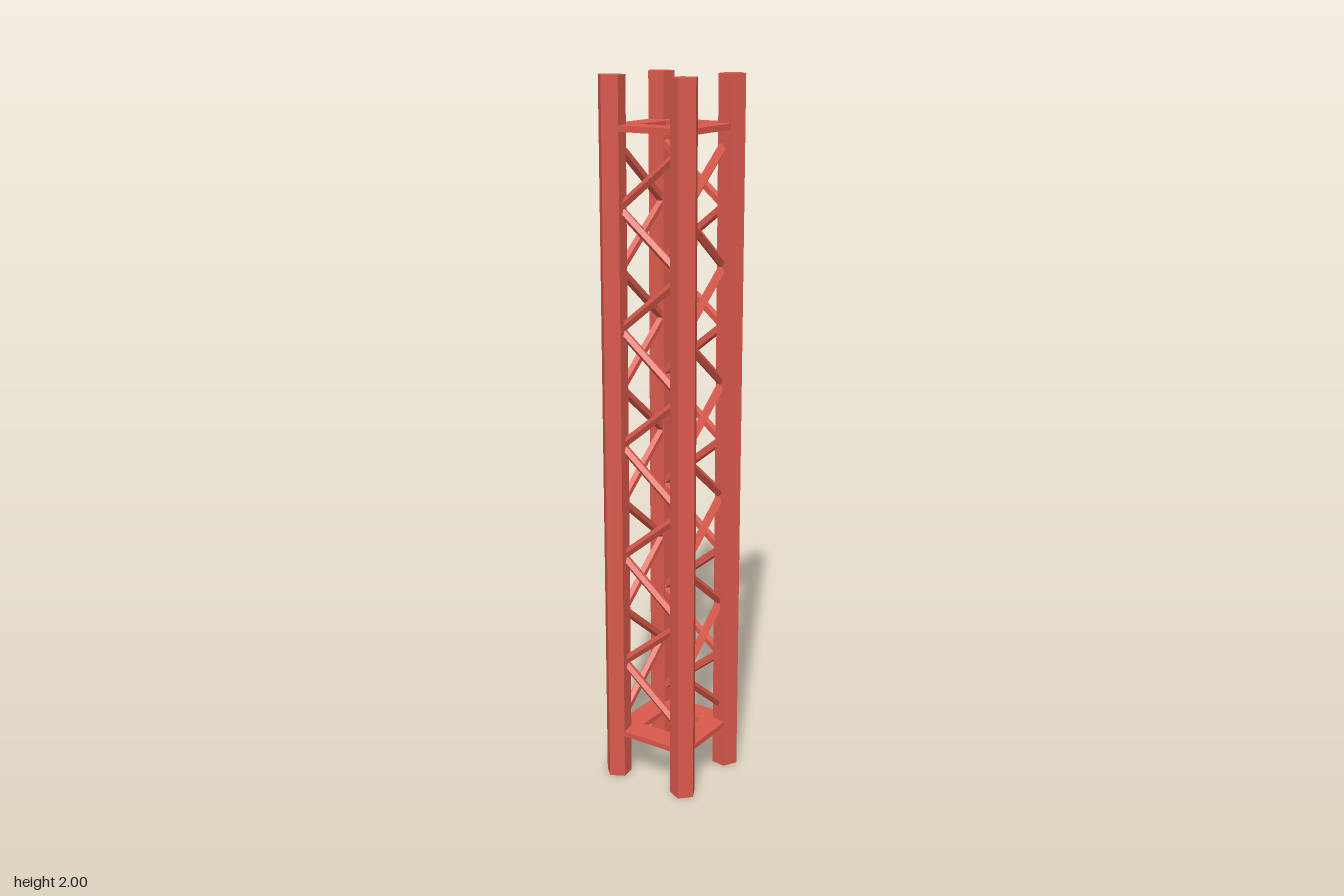
import * as THREE from 'three';

const POST = 0.1133;      // post centre offset in x and z
const ROD_Z = 0.1;        // depth of the lattice plane
const ROD_X = 0.1;        // half width of the zigzag
const BAYS = 10;
const BASE_Y = 0.19;
const PITCH = 0.163;

// Hard-edged normals for faceted parts
function faceted(geometry) {
  const g = geometry.toNonIndexed();
  g.computeVertexNormals();
  return g;
}

function square(path, h) {
  path.moveTo(-h, -h);
  path.lineTo(h, -h);
  path.lineTo(h, h);
  path.lineTo(-h, h);
  path.closePath();
  return path;
}

export function createModel() {
  const red = new THREE.MeshStandardMaterial({ color: 0xd8584b });
  red.name = 'red paint';

  const model = new THREE.Group();
  model.name = 'latticeTower';

  const add = (parent, geometry, name) => {
    const mesh = new THREE.Mesh(geometry, red);
    mesh.name = name;
    parent.add(mesh);
    return mesh;
  };

  // Five-sided post with one corner pointing to the tower axis
  const postGeo = faceted(new THREE.CylinderGeometry(0.0377, 0.0377, 2, 5, 1, false, Math.PI * 1.25));
  const rodLength = Math.hypot(2 * ROD_X, PITCH);
  const rodGeo = faceted(new THREE.CylinderGeometry(0.0125, 0.0125, rodLength, 5));
  const tilt = Math.atan2(2 * ROD_X, PITCH);

  // Four identical sides, each with a post and a zigzag of rods
  for (let s = 0; s < 4; s++) {
    const side = new THREE.Group();
    side.name = 'side' + (s + 1);
    side.rotation.y = s * Math.PI / 2;
    model.add(side);

    add(side, postGeo, 'cornerPost').position.set(POST, 1, POST);

    for (let i = 0; i < BAYS; i++) {
      const rod = add(side, rodGeo, 'diagonalRod');
      rod.position.set(0, BASE_Y + (i + 0.5) * PITCH, ROD_Z);
      rod.rotation.z = i % 2 ? -tilt : tilt;
    }
  }

  // Flat square frames tying the posts together
  const frame = square(new THREE.Shape(), 0.13);
  frame.holes.push(square(new THREE.Path(), 0.06));
  const frameGeo = new THREE.ExtrudeGeometry(frame, { depth: 0.016, bevelEnabled: false });
  frameGeo.translate(0, 0, -0.008);
  frameGeo.rotateX(-Math.PI / 2);
  add(model, frameGeo, 'lowerFrame').position.y = 0.137;
  add(model, frameGeo, 'upperFrame').position.y = 1.866;

  return model;
}
